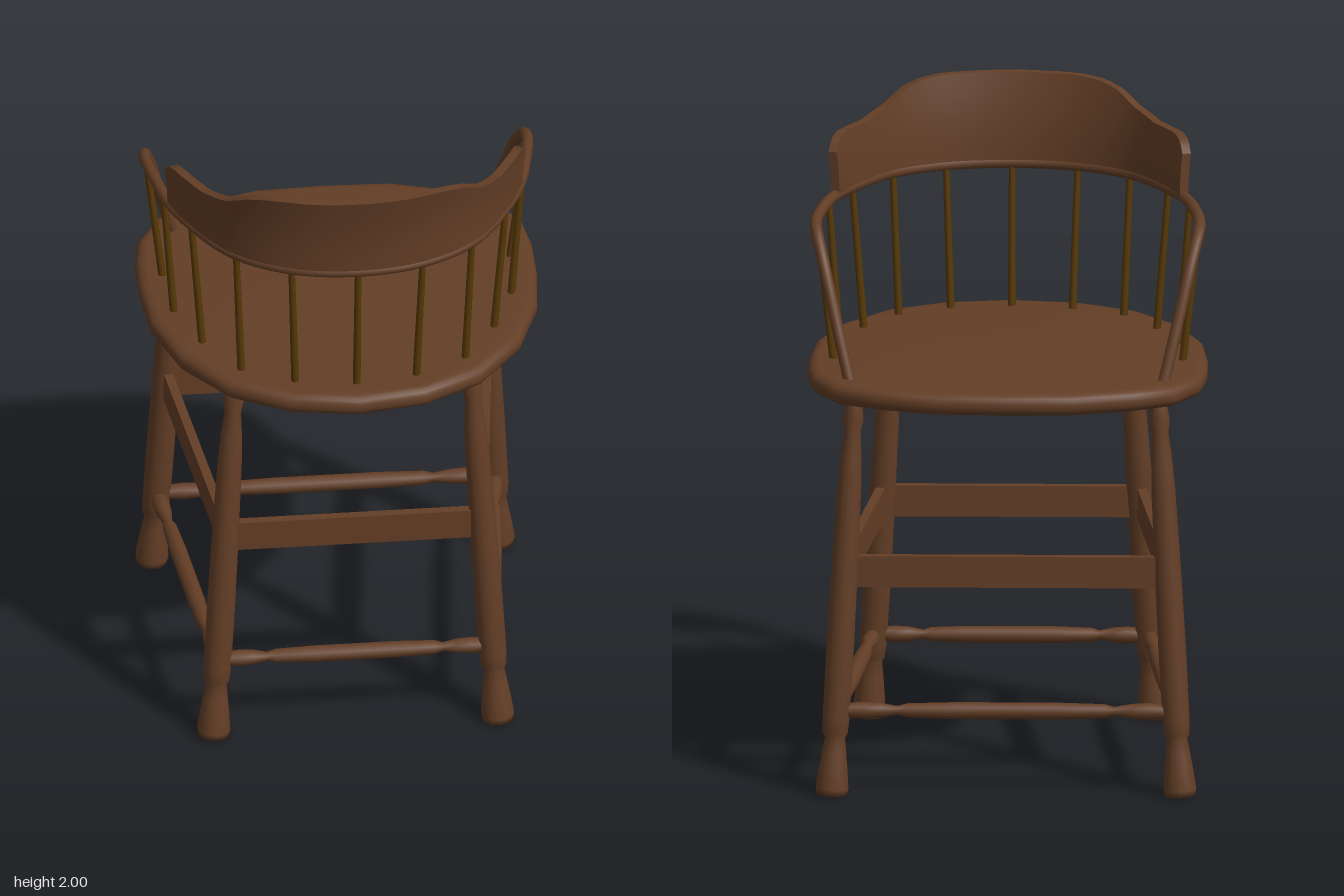
import * as THREE from 'three';
import { toCreasedNormals } from 'three/addons/utils/BufferGeometryUtils.js';

const V = (x, y, z) => new THREE.Vector3(x, y, z);

export function createModel() {
  const model = new THREE.Group();
  model.name = 'barChair';
  // the chair is symmetric in its own frame, then turned a little
  model.rotation.y = -0.261;
  model.position.set(-0.041, 0, -0.011);

  const wood = new THREE.MeshStandardMaterial({ color: 0x633e26 });
  wood.name = 'walnut wood';
  const spindleWood = new THREE.MeshStandardMaterial({ color: 0x573906 });
  spindleWood.name = 'dark golden wood';

  const add = (name, geometry, material = wood) => {
    const mesh = new THREE.Mesh(geometry, material);
    mesh.name = name;
    model.add(mesh);
    return mesh;
  };
  // stands a y-aligned geometry on point a, pointing at b
  const aim = (mesh, a, b) => {
    mesh.position.copy(a);
    mesh.quaternion.setFromUnitVectors(V(0, 1, 0), b.clone().sub(a).normalize());
    return mesh;
  };
  const lathe = (profile, sides) =>
    new THREE.LatheGeometry(profile.map(([r, y]) => new THREE.Vector2(r, y)), sides);
  // a half path from the centre line outwards, completed by its mirror image
  const mirrored = (half) => [
    ...half.slice(1).reverse().map(([x, ...rest]) => [-x, ...rest]), ...half];

  // seat: rounded slab
  const frontToBack = [[0, -0.56], [0.206, -0.552], [0.39, -0.498], [0.52, -0.43],
    [0.59, -0.305], [0.607, -0.185], [0.607, -0.043], [0.59, 0.14], [0.52, 0.335],
    [0.385, 0.505], [0.207, 0.6], [0, 0.632]];
  const outline = [...frontToBack,
    ...frontToBack.slice(1, -1).reverse().map(([x, z]) => [-x, z])];
  const seat = new THREE.ExtrudeGeometry(
    new THREE.Shape(outline.map(([x, z]) => new THREE.Vector2(x, z))),
    { depth: 0.008, bevelThickness: 0.03, bevelSize: 0.034, bevelOffset: -0.034, bevelSegments: 5 });
  seat.rotateX(Math.PI / 2).translate(0, 1.254, 0);
  add('seat', toCreasedNormals(seat, 0.7));

  // four splayed turned legs
  const legs = [[-1, 0], [1, 0], [1, 1], [-1, 1]].map(([s, back]) => back
    ? { foot: V(s * 0.435, 0.004, 0.506), top: V(s * 0.361, 1.225, 0.412) }
    : { foot: V(s * 0.53, 0.004, -0.453), top: V(s * 0.462, 1.225, -0.366) });
  const legProfile = [[0, 0], [0.047, 0], [0.051, 0.02], [0.045, 0.075], [0.037, 0.135],
    [0.031, 0.178], [0.039, 0.19], [0.042, 0.24], [0.043, 0.45], [0.041, 0.7],
    [0.037, 0.95], [0.032, 1.05], [0.025, 1.125], [0.032, 1.16], [0.027, 1.2], [0.024, 1.23]];
  for (const { foot, top } of legs) aim(add('leg', lathe(legProfile, 14)), foot, top);

  // flat boards and turned rungs between neighbouring legs
  const at = (leg, y) => leg.foot.clone().lerp(leg.top, y / 1.225);
  legs.forEach((leg, i) => {
    const next = legs[(i + 1) % 4];
    let a = at(leg, 0.692), b = at(next, 0.692);
    const board = add('stretcherBoard', new THREE.BoxGeometry(a.distanceTo(b), 0.097, 0.028));
    board.position.copy(a).lerp(b, 0.5);
    board.rotation.y = Math.atan2(a.z - b.z, b.x - a.x);

    a = at(leg, 0.26);
    b = at(next, 0.26);
    const L = a.distanceTo(b);
    const rung = [[0.02, 0], [0.026, 0.08], [0.023, 0.13], [0.014, 0.18], [0.022, 0.21],
      [0.026, 0.35], [0.026, 0.65], [0.022, 0.79], [0.014, 0.82], [0.023, 0.87],
      [0.026, 0.92], [0.02, 1]].map(([r, t]) => [r, t * L]);
    aim(add('lowerRung', lathe(rung, 10)), a, b);
  });

  // bent arm rail running round the back and down to the seat
  const rail = [[0, 1.722, 0.582], [0.2, 1.722, 0.55], [0.365, 1.722, 0.45],
    [0.485, 1.722, 0.27], [0.537, 1.722, 0.15], [0.57, 1.72, 0], [0.584, 1.71, -0.11],
    [0.579, 1.69, -0.165], [0.557, 1.61, -0.235], [0.515, 1.43, -0.305], [0.475, 1.265, -0.357]];
  const railCurve = new THREE.CatmullRomCurve3(mirrored(rail).map((p) => V(...p)));
  add('armRail', new THREE.TubeGeometry(railCurve, 110, 0.018, 10));

  // curved backrest with a raised crest, leaning outwards
  const crest = [[0, 2.0], [0.2, 1.998], [0.26, 1.99], [0.31, 1.972], [0.37, 1.93],
    [0.43, 1.906], [0.5, 1.904], [0.517, 1.892], [0.526, 1.87], [0.54, 1.83]];
  const crestHeight = (x) => {
    const i = Math.max(1, crest.findIndex((p) => p[0] >= x));
    const [x0, y0] = crest[i - 1], [x1, y1] = crest[i];
    return y0 + (y1 - y0) * (x - x0) / (x1 - x0);
  };
  const backCurve = new THREE.CatmullRomCurve3(
    mirrored([...rail.slice(0, 4), [0.53, 1.722, 0.167]]).map((p) => V(...p)));
  const back = new THREE.BoxGeometry(1, 1, 1, 72, 4, 1);
  const pos = back.attributes.position;
  for (let i = 0; i < pos.count; i++) {
    const t = THREE.MathUtils.clamp(pos.getX(i) + 0.5, 0, 1);
    const p = backCurve.getPointAt(t), d = backCurve.getTangentAt(t);
    const rise = (pos.getY(i) + 0.5) * (crestHeight(Math.min(Math.abs(p.x), 0.535)) - 1.725);
    const out = pos.getZ(i) * 0.028 + 0.5 * rise * rise;
    pos.setXYZ(i, p.x - d.z * out, 1.725 + rise, p.z + d.x * out);
  }
  add('backrest', toCreasedNormals(back, 0.7));

  // spindles: foot x, z on the seat, then head x, z under the rail
  const spindles = [[0, 0.536, 0, 0.58], [0.185, 0.507, 0.2, 0.549], [0.342, 0.43, 0.36, 0.453],
    [0.445, 0.27, 0.48, 0.278], [0.515, 0.093, 0.548, 0.1], [0.53, -0.106, 0.582, -0.1]];
  for (const [x0, z0, x1, z1] of mirrored(spindles.map(([a, b, c, d]) => [a, b, c, d]))) {
    const sx = x0 < 0 ? -1 : 1;
    const a = V(x0, 1.27, z0), b = V(sx * Math.abs(x1), 1.715, z1);
    const h = a.distanceTo(b);
    const stick = new THREE.CylinderGeometry(0.01, 0.012, h, 8).translate(0, h / 2, 0);
    aim(add('spindle', stick, spindleWood), a, b);
  }

  const group = new THREE.Group();
  group.name = 'chair';
  group.add(model);
  return group;
}
